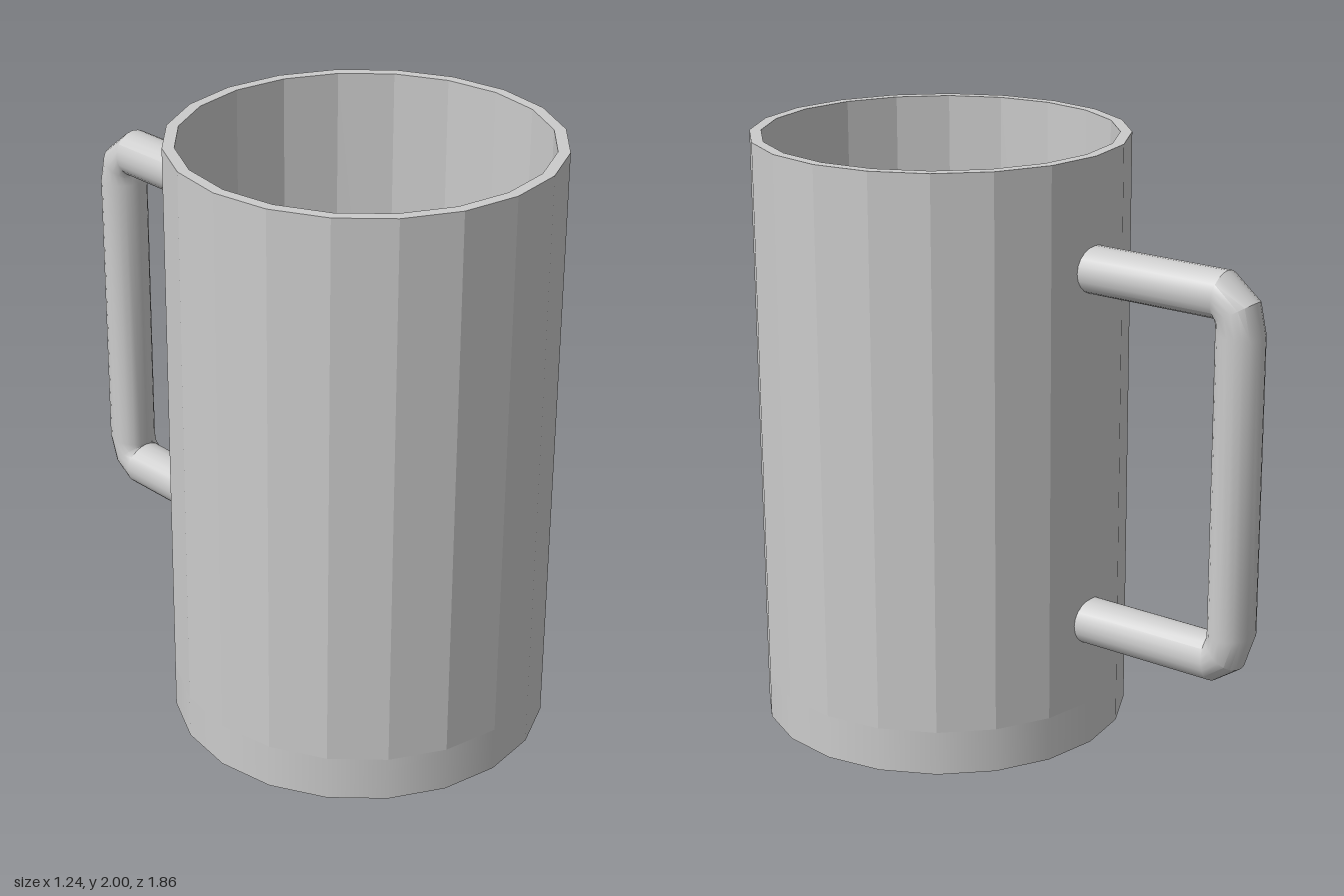
import * as THREE from 'three';
import { toCreasedNormals } from 'three/addons/utils/BufferGeometryUtils.js';

const SIDES = 20, RADIUS = 0.62, INNER = 0.582, BASE = 0.15, CUP_Z = 0.31;

// Closed tube through rings given as [outerZ, outerY, innerZ, innerY] in the x = 0 plane
function sweepRings(rings, halfWidth, n) {
  const pos = [], idx = [];
  for (const [oz, oy, iz, iy] of rings) {
    for (let j = 0; j < n; j++) {
      const t = (j / n) * Math.PI * 2, k = (1 + Math.cos(t)) / 2;
      pos.push(halfWidth * Math.sin(t), iy + (oy - iy) * k, iz + (oz - iz) * k);
    }
  }
  for (let i = 0; i < rings.length - 1; i++) {
    for (let j = 0; j < n; j++) {
      const a = i * n + j, b = i * n + (j + 1) % n;
      idx.push(a, b, a + n, b, b + n, a + n);
    }
  }
  // end caps
  const last = (rings.length - 1) * n;
  for (let j = 1; j < n - 1; j++) {
    idx.push(0, j + 1, j, last, last + j, last + j + 1);
  }
  const geo = new THREE.BufferGeometry();
  geo.setAttribute('position', new THREE.Float32BufferAttribute(pos, 3));
  geo.setIndex(idx);
  return toCreasedNormals(geo, 0.5);
}

export function createModel() {
  const group = new THREE.Group();
  const add = (name, geometry, flatShading = false) => {
    const material = new THREE.MeshStandardMaterial({ color: 0xcccccc, flatShading });
    const mesh = new THREE.Mesh(geometry, material);
    mesh.name = name;
    group.add(mesh);
    return mesh;
  };

  // Faceted wall: outside, rim and inside
  const profile = [[RADIUS, BASE], [RADIUS, 2], [INNER, 2], [INNER, BASE]]
    .map(([r, y]) => new THREE.Vector2(r, y));
  add('wall', new THREE.LatheGeometry(profile, SIDES), true).position.z = CUP_Z;

  // Smooth solid base, its top is the cup floor
  add('base', new THREE.CylinderGeometry(RADIUS, RADIUS, BASE, SIDES))
    .position.set(0, BASE / 2, CUP_Z);

  // Handle: straight arms and grip joined by two-step bends
  add('handle', sweepRings([
    [-0.29, 1.715, -0.29, 1.56],
    [-0.80, 1.715, -0.78, 1.56],
    [-0.905, 1.63, -0.777, 1.55],
    [-0.93, 1.52, -0.775, 1.53],
    [-0.93, 0.54, -0.775, 0.53],
    [-0.89, 0.425, -0.777, 0.525],
    [-0.80, 0.365, -0.78, 0.52],
    [-0.29, 0.365, -0.29, 0.52],
  ], 0.08, 20));

  return group;
}
